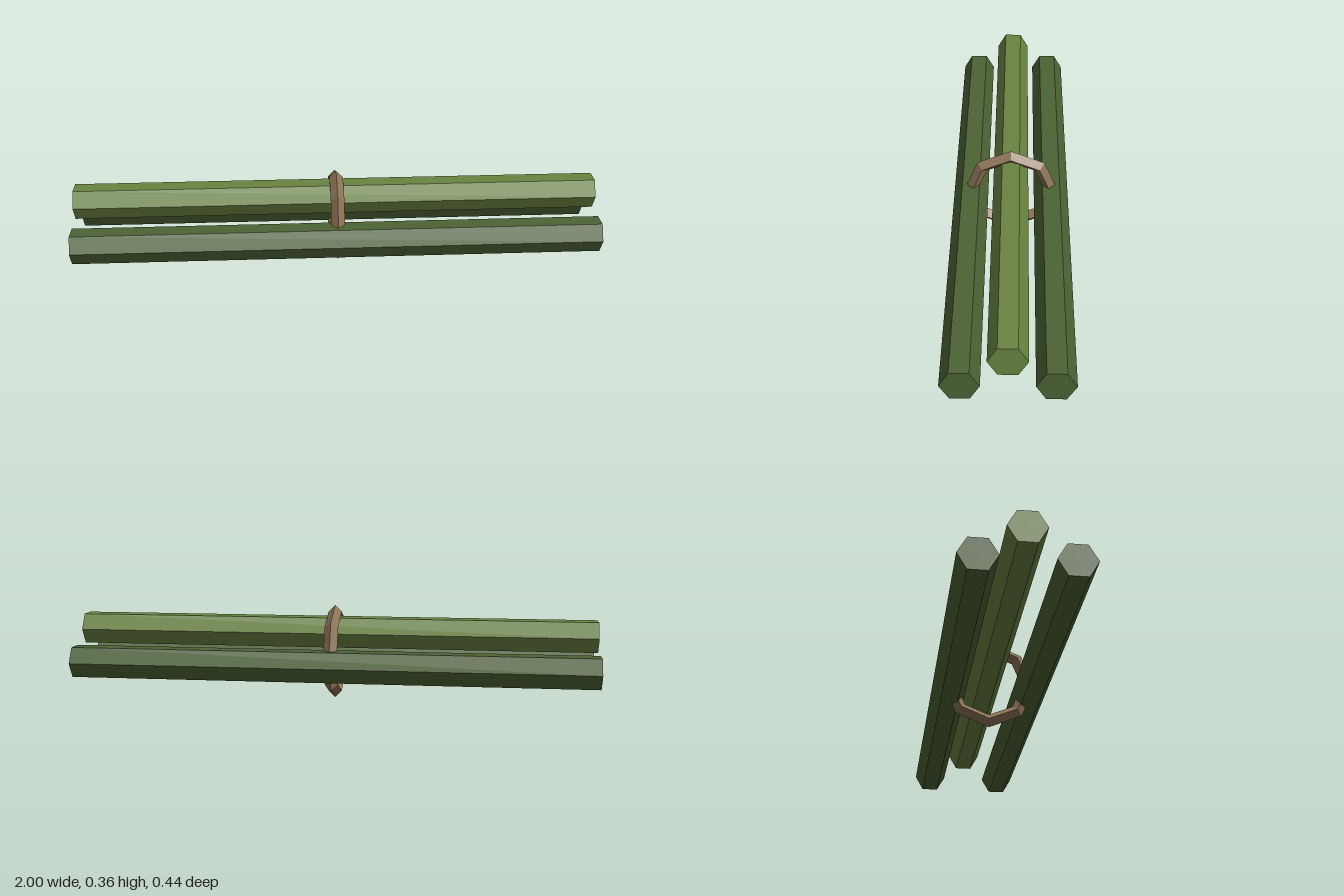
import * as THREE from 'three';

export function createModel() {
  const mat = (name, color) => {
    const m = new THREE.MeshStandardMaterial({ color, flatShading: true });
    m.name = name;
    return m;
  };
  const lightGreen = mat('light green', 0x6b8442);
  const darkGreen = mat('dark green', 0x4d6335);
  const twine = mat('twine brown', 0x8b7355);

  const group = new THREE.Group();
  group.name = 'stalkBundle';

  // Three hexagonal stalks lying along x
  const stalkGeometry = new THREE.CylinderGeometry(0.0665, 0.0665, 2, 6);
  stalkGeometry.rotateZ(Math.PI / 2);
  const addStalk = (name, y, z, material) => {
    const stalk = new THREE.Mesh(stalkGeometry, material);
    stalk.name = name;
    stalk.position.set(0, y, z);
    group.add(stalk);
  };
  addStalk('frontStalk', 0.15, 0.156, darkGreen);
  addStalk('backStalk', 0.15, -0.156, darkGreen);
  addStalk('topStalk', 0.261, 0, lightGreen);

  // Octagonal binding ring around the middle
  const ringGeometry = new THREE.TorusGeometry(0.156, 0.026, 4, 8);
  ringGeometry.rotateY(Math.PI / 2);
  const ring = new THREE.Mesh(ringGeometry, twine);
  ring.name = 'bindingRing';
  ring.position.y = 0.183;
  group.add(ring);

  return group;
}
